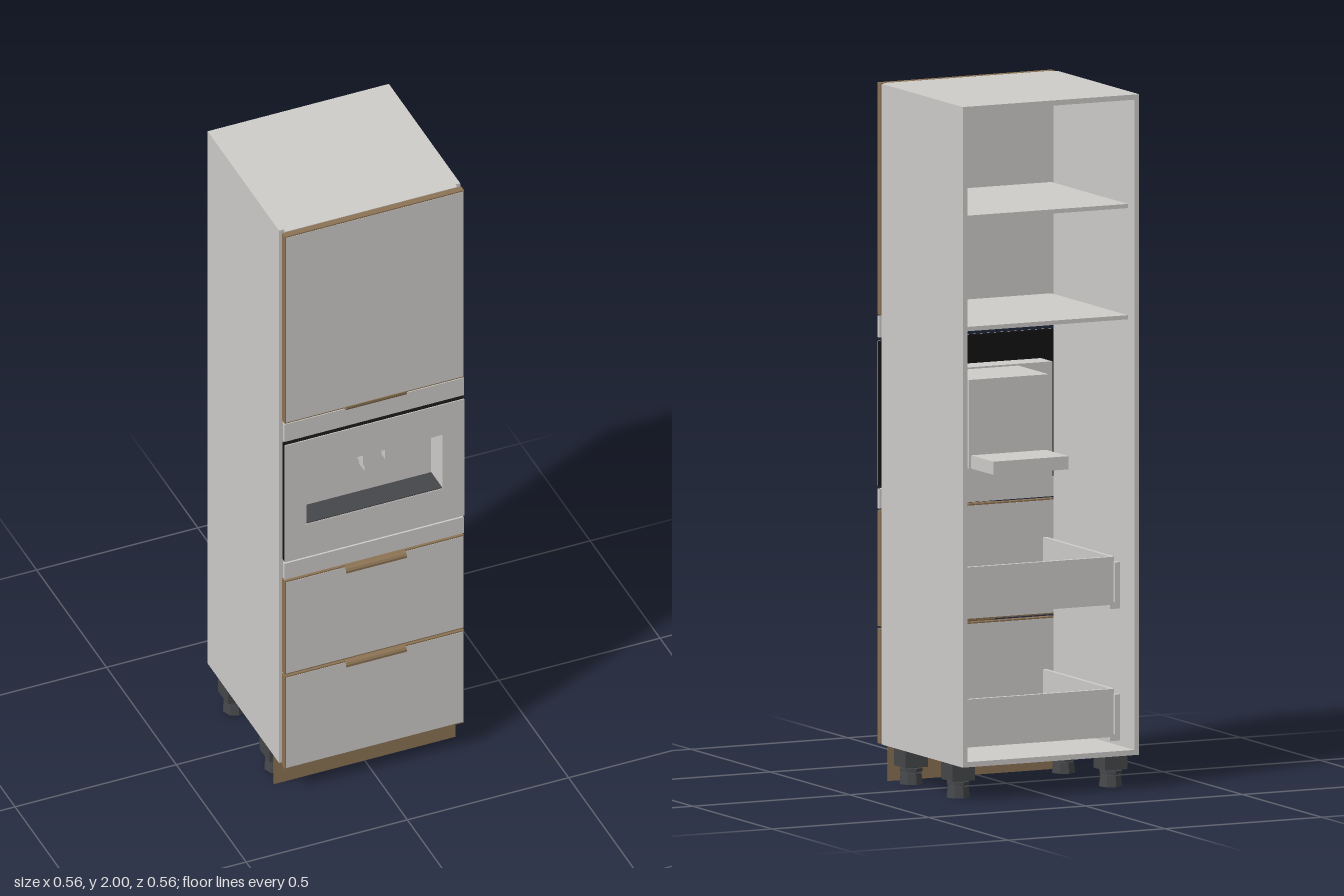
import * as THREE from 'three';

const mat = (name, color, side = THREE.FrontSide) => {
  const m = new THREE.MeshStandardMaterial({ color, side });
  m.name = name;
  return m;
};

export function createModel() {
  const root = new THREE.Group();
  root.name = 'tallKitchenCabinet';
  const grey = mat('lightGrey', 0xd0cecb);
  const brown = mat('woodBrown', 0x8c7354);
  const black = mat('black', 0x121212);
  const dark = mat('darkPlastic', 0x45474a);

  const group = (name) => {
    const g = new THREE.Group();
    g.name = name;
    root.add(g);
    return g;
  };
  // Box given by its low and high limits on each axis
  const box = (parent, name, m, x0, x1, y0, y1, z0, z1) => {
    const mesh = new THREE.Mesh(new THREE.BoxGeometry(x1 - x0, y1 - y0, z1 - z0), m);
    mesh.position.set((x0 + x1) / 2, (y0 + y1) / 2, (z0 + z1) / 2);
    mesh.name = name;
    parent.add(mesh);
    return mesh;
  };
  // Rectangular plate with a rectangular opening, extruded along z
  const frame = (parent, name, m, o, h, z0, z1) => {
    const rect = (P, [x0, x1, y0, y1]) => new P([[x0, y0], [x1, y0], [x1, y1], [x0, y1]]
      .map(([x, y]) => new THREE.Vector2(x, y)));
    const s = rect(THREE.Shape, o);
    s.holes.push(rect(THREE.Path, h));
    const mesh = new THREE.Mesh(new THREE.ExtrudeGeometry(s, { depth: z1 - z0, bevelEnabled: false }), m);
    mesh.position.z = z0;
    mesh.name = name;
    parent.add(mesh);
  };

  // Carcass, open at the back
  const W = 0.281, T = 0.015, IN = W - T, BACK = -0.281;
  const carcass = group('carcass');
  for (const s of [-1, 1]) {
    box(carcass, 'sidePanel', grey, s > 0 ? IN : -W, s > 0 ? W : -IN, 0.1, 2, BACK, 0.23);
  }
  box(carcass, 'topPanel', grey, -IN, IN, 2 - T, 2, BACK, 0.242);
  box(carcass, 'bottomPanel', grey, -IN, IN, 0.1, 0.1 + T, BACK, 0.23);
  for (const y of [1.68, 1.36]) box(carcass, 'shelf', grey, -IN, IN, y - 0.012, y, -0.24, 0.242);

  // Fronts: brown edged boards with grey faces
  const board = (name, y0, y1) => {
    const g = group(name);
    const w = 0.278, e = 0.004;
    box(g, 'edgedBoard', brown, -w, w, y0, y1, 0.244, 0.264);
    box(g, 'frontFace', grey, -w + e, w - e, y0 + e, y1 - e, 0.262, 0.265);
    box(g, 'backFace', grey, -w + e, w - e, y0 + e, y1 - e, 0.243, 0.246);
    return g;
  };
  // Curved lip handle: dir is the direction the lip bends
  const handle = (parent, y, dir) => {
    const pts = [[0.255, 0], [0.27, 0], [0.277, 0.003], [0.281, 0.009], [0.281, 0.016],
      [0.278, 0.016], [0.278, 0.01], [0.275, 0.006], [0.269, 0.003], [0.255, 0.003]];
    const s = new THREE.Shape(pts.map(([z, h]) => new THREE.Vector2(-z, y + dir * h)));
    const mesh = new THREE.Mesh(new THREE.ExtrudeGeometry(s, { depth: 0.187, bevelEnabled: false }), brown);
    mesh.rotation.y = Math.PI / 2;
    mesh.position.x = -0.0935;
    mesh.name = 'handle';
    parent.add(mesh);
  };
  handle(board('upperDoor', 1.333, 2), 1.333, 1);
  handle(board('upperDrawerFront', 0.437, 0.77), 0.771, -1);
  handle(board('lowerDrawerFront', 0.1, 0.43), 0.436, -1);

  // Drawer boxes
  for (const y of [0.51, 0.13]) {
    const d = group('drawerBox');
    box(d, 'drawerBottom', grey, -0.245, 0.245, y + 0.012, y + 0.024, -0.18, 0.243);
    box(d, 'drawerBack', grey, -0.245, 0.245, y + 0.012, y + 0.15, -0.19, -0.178);
    for (const s of [-1, 1]) {
      const span = (a, b) => (s > 0 ? [a, b] : [-b, -a]);
      box(d, 'drawerSide', grey, ...span(0.24, 0.252), y + 0.012, y + 0.15, -0.18, 0.243);
      box(d, 'runner', grey, ...span(0.235, IN), y, y + 0.02, -0.19, 0.225);
      box(d, 'backBracket', grey, ...span(0.245, 0.261), y + 0.02, y + 0.135, -0.2, -0.18);
    }
  }

  // Filler strips above and below the appliance
  box(root, 'upperFillerStrip', grey, -0.278, 0.278, 1.267, 1.329, 0.25, 0.262);
  box(root, 'lowerFillerStrip', grey, -0.278, 0.278, 0.775, 0.832, 0.25, 0.262);

  // Built-in coffee machine
  const m = group('coffeeMachine');
  const hole = [-0.213, 0.212, 0.955, 1.15];
  const outer = [-0.278, 0.278, 0.84, 1.256];
  frame(m, 'frontPanel', black, outer, hole, 0.247, 0.263);
  frame(m, 'frontFace', grey, outer, hole, 0.263, 0.266);
  frame(m, 'nicheWalls', grey, [-0.235, 0.235, 0.84, 1.175], [-0.211, 0.21, 0.957, 1.148], 0.185, 0.247);
  frame(m, 'nicheLining', grey, hole, [-0.211, 0.21, 0.957, 1.148], 0.247, 0.2655);
  box(m, 'nicheBack', grey, -0.235, 0.235, 0.84, 1.175, 0.175, 0.186);
  box(m, 'dripTray', dark, -0.211, 0.21, 0.956, 0.96, 0.186, 0.264);
  box(m, 'rearBody', grey, -0.127, 0.127, 0.915, 1.17, -0.015, 0.176);
  box(m, 'rearLedge', grey, -0.12, 0.12, 0.915, 0.953, -0.155, -0.014);
  box(m, 'spoutBlock', grey, -0.03, 0.028, 1.1, 1.142, 0.186, 0.25);
  box(m, 'spout', grey, -0.02, 0.018, 1.07, 1.101, 0.2, 0.24);
  box(m, 'steamNozzle', grey, 0.049, 0.061, 1.083, 1.142, 0.2, 0.225);
  box(m, 'sideTrim', grey, -0.215, -0.211, 0.915, 0.955, 0.264, 0.267);

  // Plinth board
  box(root, 'plinth', brown, -W, W, 0, 0.1, 0.19, 0.195);

  // Adjustable feet
  const cyl = (parent, name, rt, rb, y0, y1, n) => {
    const geo = new THREE.CylinderGeometry(rt, rb, y1 - y0, n).toNonIndexed();
    geo.computeVertexNormals();
    const mesh = new THREE.Mesh(geo, dark);
    mesh.position.y = (y0 + y1) / 2;
    mesh.name = name;
    parent.add(mesh);
  };
  for (const x of [-0.243, 0.243]) {
    for (const z of [0.12, -0.177]) {
      const f = group('foot');
      f.position.set(x, 0, z);
      box(f, 'footSocket', dark, -0.036, 0.036, 0.05, 0.1, -0.036, 0.036);
      cyl(f, 'footStem', 0.02, 0.02, 0.03, 0.052, 12);
      cyl(f, 'footCollar', 0.034, 0.034, 0.036, 0.046, 8);
      cyl(f, 'footBase', 0.031, 0.035, 0, 0.032, 8);
    }
  }
  return root;
}
